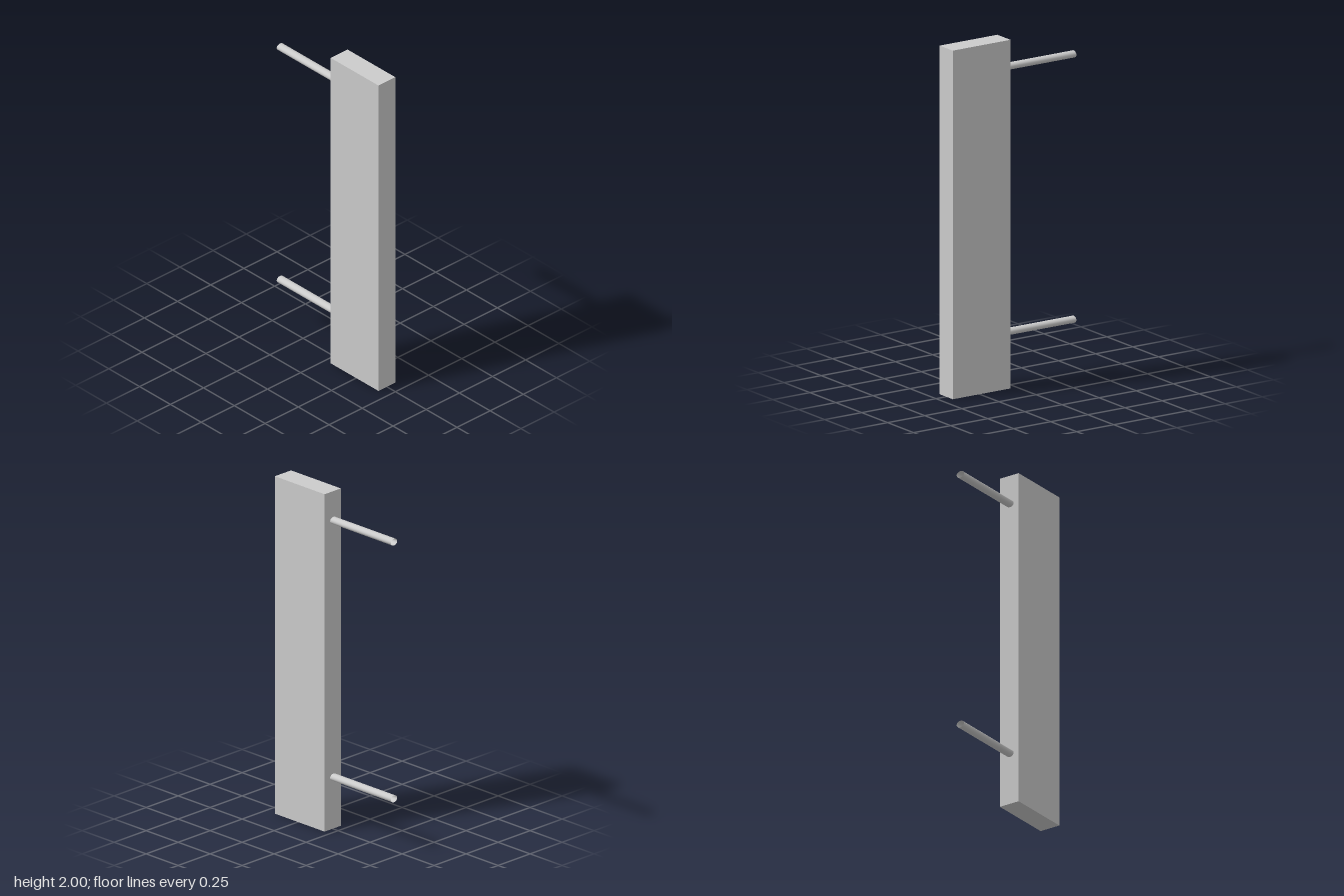
import * as THREE from 'three';

export function createModel() {
  const model = new THREE.Group();
  const grey = new THREE.MeshStandardMaterial({ color: 0xcccccc });
  const openGrey = new THREE.MeshStandardMaterial({ color: 0xcccccc, side: THREE.DoubleSide });

  // Tall upright slab
  const panel = new THREE.Mesh(new THREE.BoxGeometry(0.389, 2, 0.127), grey);
  panel.name = 'panel';
  panel.position.set(0.2365, 1, 0);
  model.add(panel);

  // Two open, slightly flattened tubes running out from the panel's right edge
  const length = 0.474;
  const tube = new THREE.CylinderGeometry(1, 1, length, 24, 1, true)
    .rotateZ(Math.PI / 2)
    .scale(1, 0.02, 0.025);
  for (const [name, y] of [['upperRod', 1.828], ['lowerRod', 0.306]]) {
    const rod = new THREE.Mesh(tube, openGrey);
    rod.name = name;
    rod.position.set(0.042 - length / 2, y, 0.005);
    model.add(rod);
  }
  return model;
}
